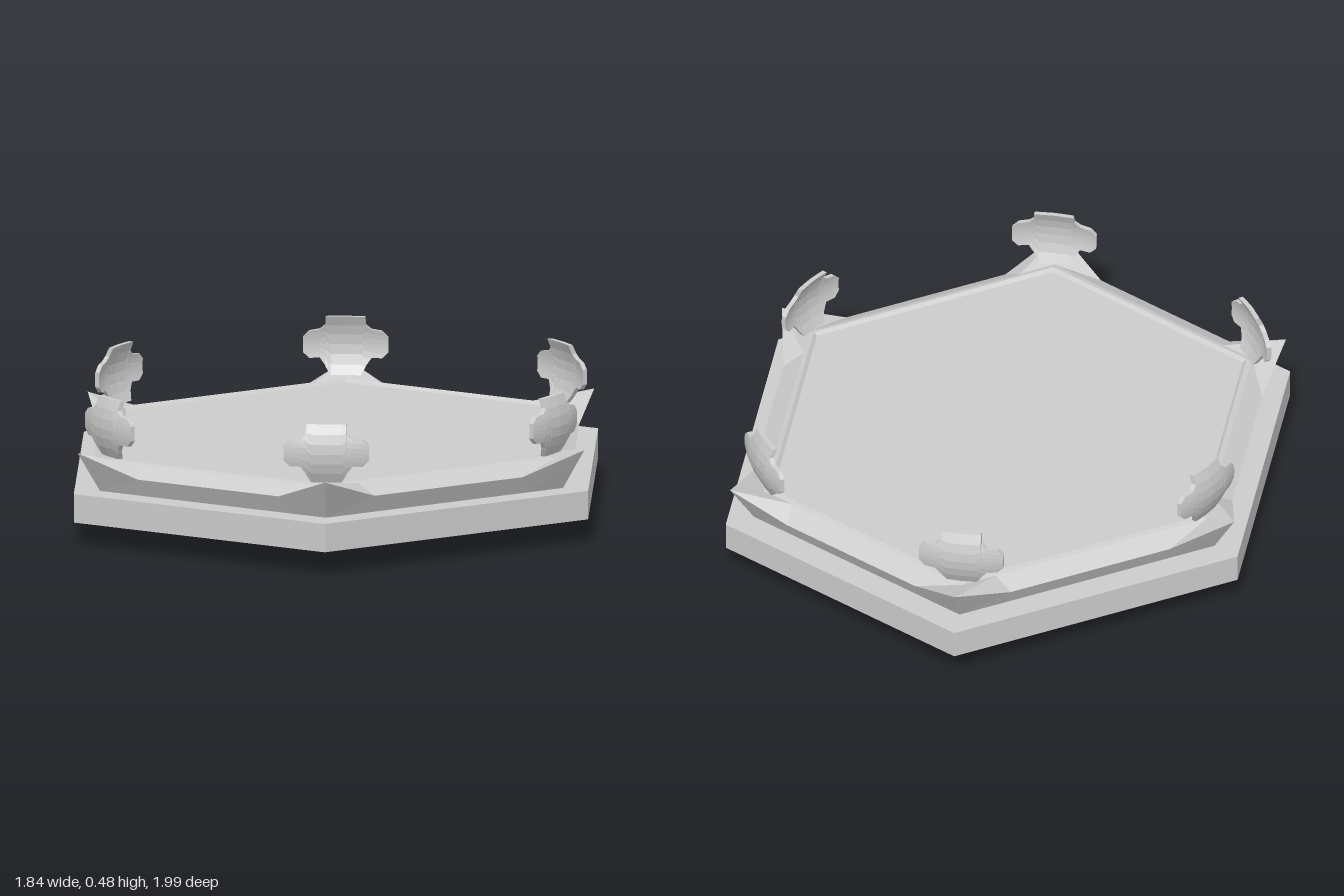
import * as THREE from 'three';

const material = new THREE.MeshStandardMaterial({ color: 0xcccccc, flatShading: true, side: THREE.DoubleSide });

// Corners of the slightly skewed hexagon as [x, z], counter-clockwise from above
const half = [[0.195, -0.997], [-0.725, -0.733], [-0.922, 0.267]];
const corners = [...half, ...half.map(([x, z]) => [-x, -z])];

const hex = (scale, y) => corners.map(([x, z]) => new THREE.Vector3(x * scale, y, z * scale));

// Hexagon with two extra points beside each corner; the corner may be pulled out and up
function spikedHex(scale, y, reach = 0.2, tipScale = scale, tipY = y) {
  const points = hex(scale, y);
  const tips = hex(tipScale, tipY);
  return points.flatMap((p, i) => [
    p.clone().lerp(points[(i + 5) % 6], reach),
    tips[i],
    p.clone().lerp(points[(i + 1) % 6], reach),
  ]);
}

// Skin a series of equal-length closed loops and cap both ends
function loft(levels) {
  const out = [];
  const tri = (...pts) => pts.forEach((p) => out.push(p.x, p.y, p.z));
  const n = levels[0].length;
  for (let i = 0; i < levels.length - 1; i++) {
    for (let j = 0; j < n; j++) {
      const k = (j + 1) % n;
      const [a, b] = [levels[i], levels[i + 1]];
      tri(a[j], a[k], b[k]);
      tri(a[j], b[k], b[j]);
    }
  }
  const centre = (loop) => loop.reduce((s, p) => s.add(p), new THREE.Vector3()).divideScalar(n);
  const [first, last] = [levels[0], levels[levels.length - 1]];
  const [c0, c1] = [centre(first), centre(last)];
  for (let j = 0; j < n; j++) {
    const k = (j + 1) % n;
    tri(c0, first[k], first[j]);
    tri(c1, last[j], last[k]);
  }
  const geometry = new THREE.BufferGeometry();
  geometry.setAttribute('position', new THREE.Float32BufferAttribute(out, 3));
  geometry.computeVertexNormals();
  return geometry;
}

// Cross-shaped plate, bowed outward across its width and height
function clipGeometry() {
  const columns = [ // [distance from middle, bottom, top]
    [0.14, -0.025, 0.025], [0.12, -0.045, 0.045], [0.085, -0.045, 0.05],
    [0.067, -0.07, 0.065], [0.065, -0.075, 0.095], [0.05, -0.1, 0.095],
  ];
  const all = [
    ...columns.map(([u, lo, hi]) => [-u, lo, hi]),
    [0, -0.1, 0.095],
    ...[...columns].reverse(),
  ];
  const rows = 6;
  const thickness = 0.016;
  const levels = all.map(([u, lo, hi]) => {
    const back = [];
    const front = [];
    for (let r = 0; r <= rows; r++) {
      const v = lo + ((hi - lo) * r) / rows;
      const z = -0.022 * (u / 0.14) ** 2 - 0.03 * (v / 0.1) ** 2;
      back.push(new THREE.Vector3(u, v, z - thickness / 2));
      front.unshift(new THREE.Vector3(u, v, z + thickness / 2));
    }
    return [...back, ...front];
  });
  return loft(levels);
}

export function createModel() {
  const model = new THREE.Group();
  model.name = 'hexagonalPlatform';
  const add = (name, geometry) => {
    const mesh = new THREE.Mesh(geometry, material);
    mesh.name = name;
    model.add(mesh);
    return mesh;
  };

  // Lower slab
  add('baseSlab', loft([hex(1, 0.08), hex(1, 0.175)]));

  // Flared rim with a raised spike at every corner, closed by the sunken top plate
  add('spikedRimAndTopPlate', loft([
    spikedHex(0.9, 0.175, 0.14),
    spikedHex(0.935, 0.235, 0.2, 0.985, 0.31),
    spikedHex(0.865, 0.27, 0.14),
    spikedHex(0.845, 0.275, 0.1),
    spikedHex(0.832, 0.264, 0.1),
  ]));

  // Curved clips standing inside the corners
  const clip = clipGeometry();
  corners.forEach(([x, z], i) => {
    const mesh = add(`cornerClip${i + 1}`, clip);
    mesh.position.set(x * 0.885, 0.385, z * 0.885);
    mesh.rotation.y = Math.atan2(x, z);
  });

  // Shallow faceted boss under the slab
  add('undersideBoss', loft([hex(0.08, 0.04), hex(0.24, 0.052), hex(0.41, 0.082)]));

  // Hollow nub in the middle
  const profile = [[0, 0.02], [0.04, 0.02], [0.045, 0], [0.08, 0], [0.08, 0.046]];
  const nub = add('undersideNub', new THREE.LatheGeometry(profile.map((p) => new THREE.Vector2(...p)), 8));
  nub.position.x = -0.008;

  // Fan of small ridges beside the nub
  const ridge = new THREE.BoxGeometry(0.012, 0.012, 0.07);
  for (let i = 0; i < 9; i++) {
    const angle = Math.PI + (i - 4) * 0.26;
    const mesh = add(`undersideRidge${i + 1}`, ridge);
    mesh.position.set(Math.sin(angle) * 0.135, 0.044, Math.cos(angle) * 0.135);
    mesh.rotation.y = angle + 0.4;
  }

  return model;
}
